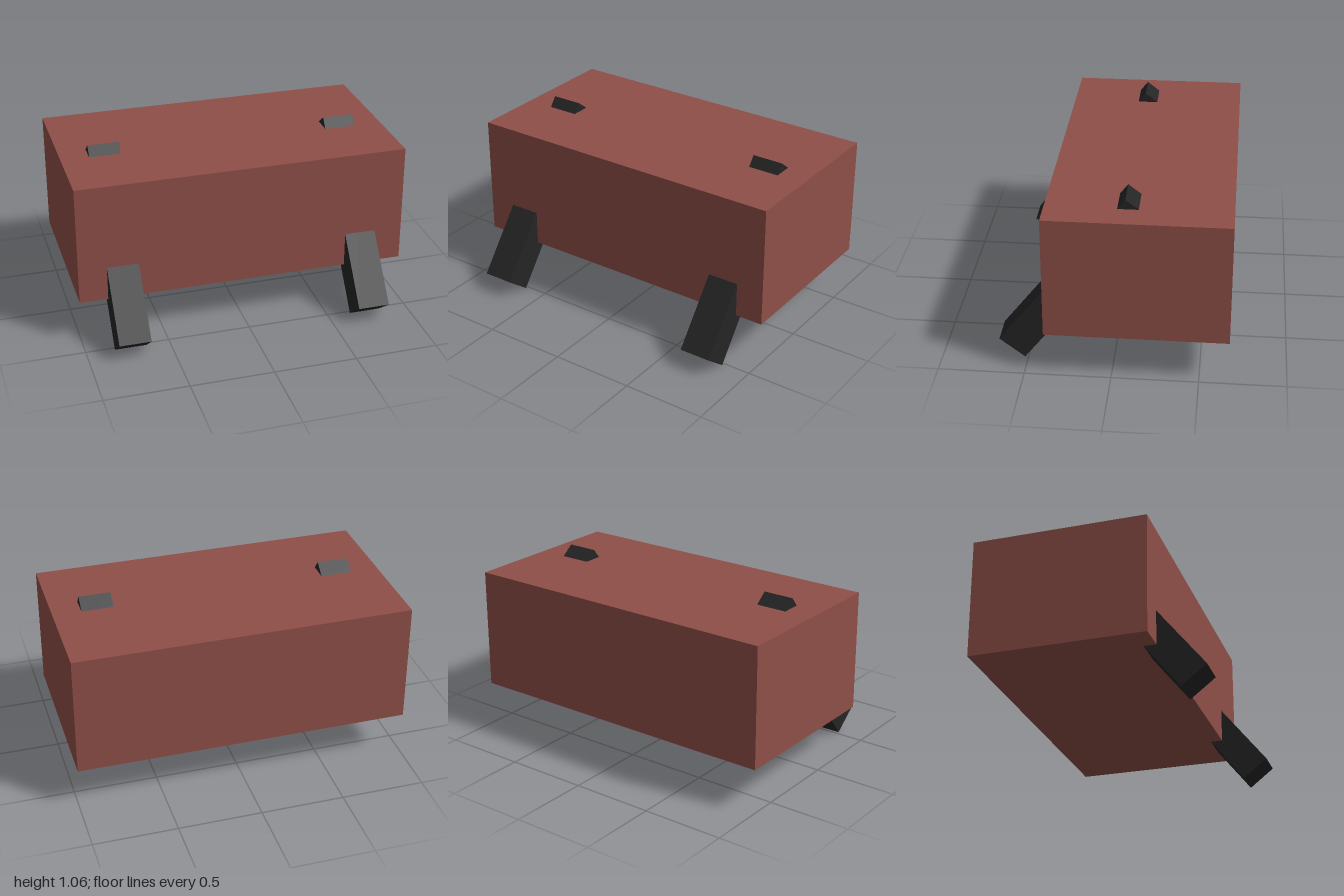
import * as THREE from 'three';

export function createModel() {
  const model = new THREE.Group();
  const brick = new THREE.MeshStandardMaterial({ name: 'brick red', color: 0x8f4f48 });
  const black = new THREE.MeshStandardMaterial({ name: 'black', color: 0x252525 });

  const addBox = (name, size, position, material, tilt = 0) => {
    const mesh = new THREE.Mesh(new THREE.BoxGeometry(...size), material);
    mesh.name = name;
    mesh.position.set(...position);
    mesh.rotation.x = tilt;
    model.add(mesh);
  };

  // Main block
  addBox('body', [2, 0.732, 1.052], [0, 0.639, -0.142], brick);

  // Slanted bars passing through the block, out of the top and the lower front
  for (const [name, side] of [['leftLeg', 1], ['rightLeg', -1]]) {
    addBox(name, [0.19, 1.197, 0.187], [side * 0.735, 0.533, 0.226], black, -0.661);
  }
  return model;
}
